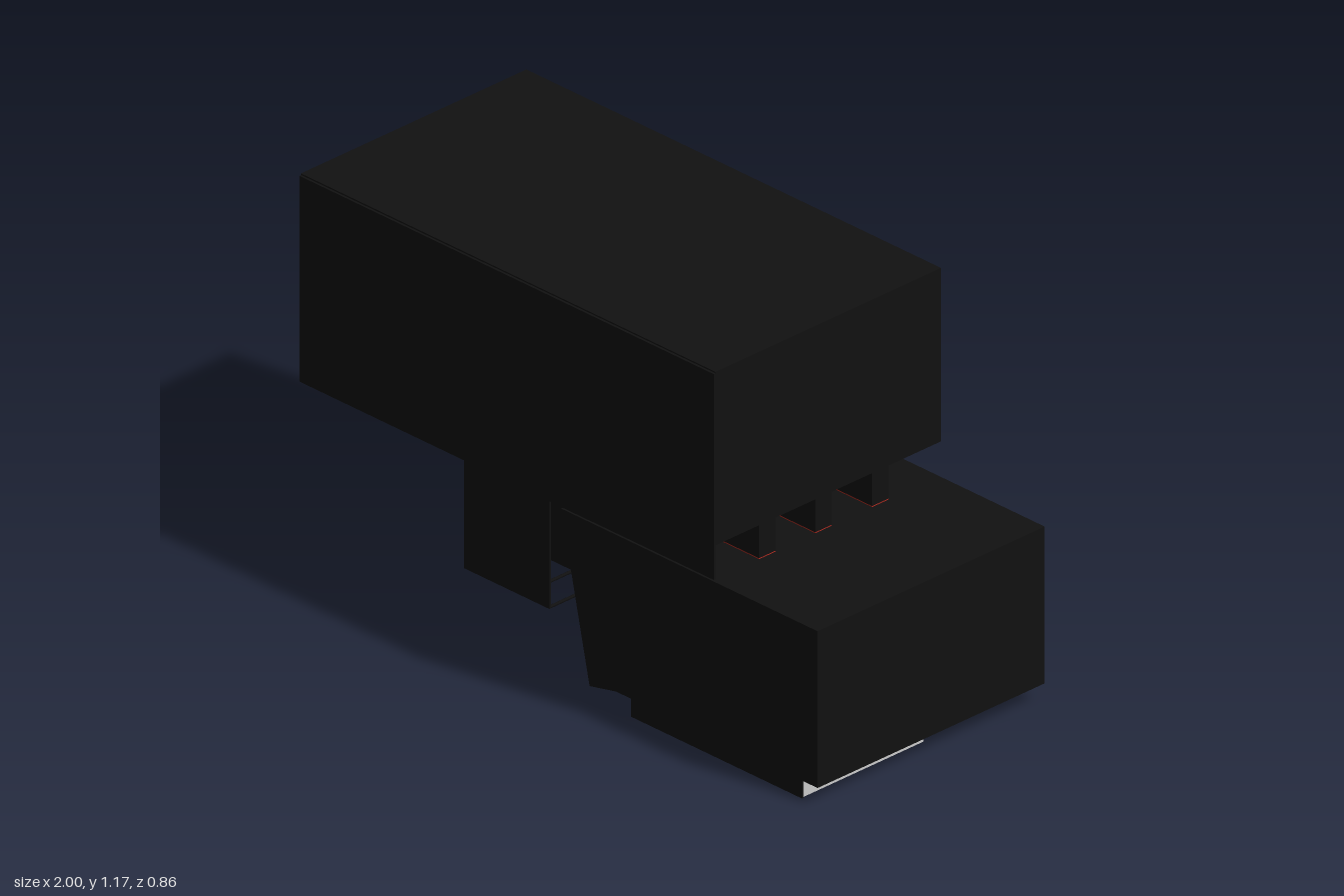
import * as THREE from 'three';

const mat = (color) => new THREE.MeshStandardMaterial({ color, side: THREE.DoubleSide });

export function createModel() {
  const model = new THREE.Group();
  const dark = mat(0x111111), grey = mat(0xcccccc), red = mat(0xb02a20);
  const T = 0.004; // shell thickness
  const ribZ = [-0.2, 0.015, 0.228], ribW = 0.062;

  // box given by its limits on each axis
  function block(name, material, [x0, x1], [y0, y1], [z0, z1]) {
    const mesh = new THREE.Mesh(new THREE.BoxGeometry(x1 - x0, y1 - y0, z1 - z0), material);
    mesh.position.set((x0 + x1) / 2, (y0 + y1) / 2, (z0 + z1) / 2);
    mesh.name = name;
    model.add(mesh);
    return mesh;
  }
  // outline in x,y extruded from z0 to z1
  function plate(name, material, points, z0, z1) {
    const shape = new THREE.Shape(points.map(([x, y]) => new THREE.Vector2(x, y)));
    const geo = new THREE.ExtrudeGeometry(shape, { depth: z1 - z0, bevelEnabled: false });
    const mesh = new THREE.Mesh(geo, material);
    mesh.position.z = z0;
    mesh.name = name;
    model.add(mesh);
  }
  // thin round bar between two points
  function rod(name, a, b, r = 0.005) {
    const curve = new THREE.LineCurve3(new THREE.Vector3(...a), new THREE.Vector3(...b));
    const mesh = new THREE.Mesh(new THREE.TubeGeometry(curve, 1, r, 6), dark);
    mesh.name = name;
    model.add(mesh);
  }
  // row of dark panes just below a soffit
  function panes(name, xs, w, y, z, d) {
    for (const x of xs) block(name, dark, [x - w / 2, x + w / 2], [y - 0.003, y - 0.001], [z - d / 2, z + d / 2]);
  }

  const back = -0.43, front = 0.424, face = 0.43;

  // upper volume, open at the back
  block('upperRoof', dark, [-1, 0.6], [1.175 - T, 1.175], [back, front]);
  block('upperFloor', dark, [-1, 0.6], [0.647, 0.651], [back, front]);
  block('upperSoffit', grey, [-1 + T, 0.6 - T], [0.644, 0.647], [back, front]);
  block('upperLeftWall', dark, [0.6 - T, 0.6], [0.644, 1.175], [back, front]);
  block('upperRightWall', dark, [-1, -1 + T], [0.644, 1.175], [back, front]);
  plate('upperFrontPanel', dark, [[-1, 0.54], [-0.365, 0.54], [-0.365, 0.21], [-0.035, 0.21],
    [-0.035, 0.54], [0.6, 0.54], [0.6, 1.17], [-1, 1.17]], front, face);

  // lower volume, open at the back, with one leaning wall
  block('lowerRoof', dark, [0.118, 1], [0.535 - T, 0.535], [back, front]);
  block('lowerFloor', dark, [0.222, 1], [0.058, 0.062], [back, front]);
  block('lowerSoffit', grey, [0.222, 1 - T], [0.055, 0.058], [back, front]);
  block('lowerLeftWall', dark, [1 - T, 1], [0.055, 0.535], [back, front]);
  plate('leaningWallInside', dark, [[0.122, 0.535], [0.226, 0.055], [0.23, 0.055], [0.126, 0.535]], back, front);
  plate('leaningWallOutside', grey, [[0.118, 0.535], [0.222, 0.055], [0.226, 0.055], [0.122, 0.535]], back, front);
  plate('lowerFrontPanel', dark, [[0.01, 0.535], [0.12, 0.033], [0.222, 0.055], [0.28, 0.055],
    [0.28, 0], [0.94, 0], [0.94, 0.055], [1, 0.055], [1, 0.535]], front, face);
  block('plinth', grey, [0.28, 0.94], [0.003, 0.055], [-0.03, front]);

  // beams below the upper floor, leaning ribs and hanging ribs
  for (const z of ribZ) {
    const z0 = z - ribW / 2, z1 = z + ribW / 2;
    block('floorBeam', dark, [-1, 0.6], [0.543, 0.644], [z0, z1]);
    block('beamUnderside', red, [-1, 0.6], [0.54, 0.543], [z0, z1]);
    plate('leaningRib', dark, [[0.014, 0.54], [0.124, 0.036], [0.222, 0.057], [0.118, 0.54]], z0, z1);
    plate('leaningRibEdge', red, [[0.01, 0.54], [0.12, 0.033], [0.222, 0.055], [0.222, 0.057],
      [0.124, 0.036], [0.014, 0.54]], z0, z1);
    plate('hangingRib', dark, [[-0.365, 0.54], [-0.365, 0.213], [-0.035, 0.213], [-0.035, 0.54]], z - 0.006, z + 0.006);
  }

  // hanging stair: rails along the bottom and sloping bars
  for (const x of [-0.36, -0.25, -0.145, -0.04]) {
    rod('bottomRail', [x, 0.212, back], [x, 0.212, front]);
    rod('slopingBar', [x, 0.212, -0.1], [x, 0.644, -0.36]);
  }

  // panes in the undersides
  for (const z of [-0.31, -0.092, 0.122, 0.34])
    for (const c of [-0.865, -0.513, -0.03])
      panes('upperPane', [-0.105, -0.035, 0.035, 0.105].map((d) => c + d), 0.06, 0.644, z, 0.1);
  for (const z of [-0.285, -0.106]) panes('lowerPane', [0.36, 0.54, 0.715, 0.893], 0.125, 0.055, z, 0.06);
  for (const z of [0.14, 0.36]) panes('plinthPane', [0.37, 0.53, 0.69, 0.85], 0.15, 0.003, z, 0.05);

  return model;
}
